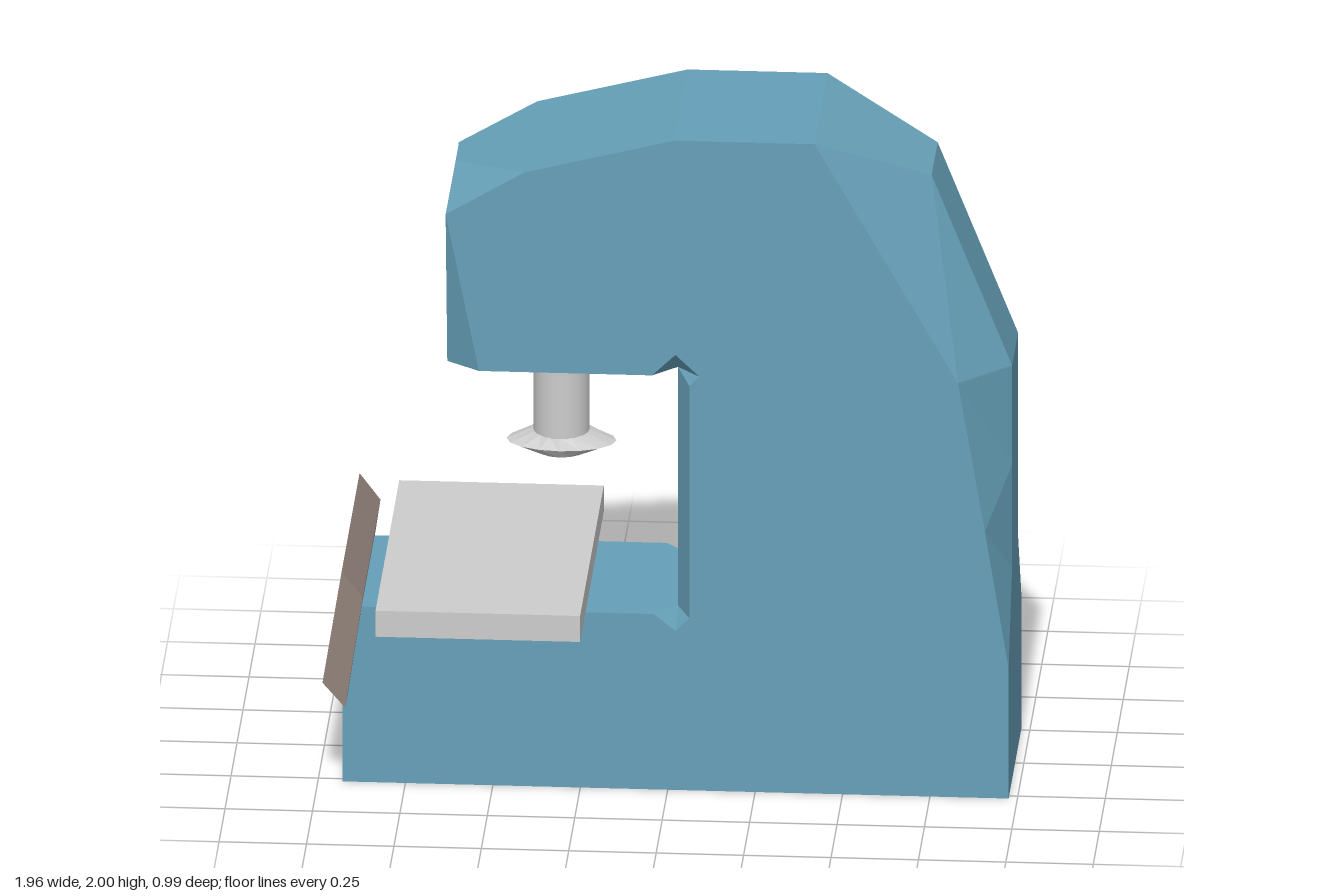
import * as THREE from 'three';

const W = 0.27; // half thickness of the frame

// Each row: side outline x, y (at z = W), then the bevel point x, y, z behind it.
// A row of two numbers has no bevel. Rows run counter-clockwise seen from the front.
const FRAME = [
  [-0.93, 0], [0.975, 0], [0.975, 0.4],
  // back edge bevels
  [0.975, 0.4, 0.975, 0.65, 0.125],
  [0.907, 0.82, 0.975, 0.97, 0.125],
  [0.83, 1.275, 0.975, 1.275, 0.125],
  [0.83, 1.275, 0.745, 1.855, 0.125],
  [0.42, 2, 0.745, 1.855, 0.125],
  [0.42, 2], [0.02, 2], [-0.41, 1.89],
  // nose of the upper arm
  [-0.41, 1.89, -0.62, 1.84, 0.07],
  [-0.635, 1.755, -0.62, 1.84, 0.07],
  [-0.635, 1.755, -0.635, 1.275, 0.2],
  [-0.54, 1.275, -0.635, 1.275, 0.2],
  [-0.54, 1.275], [-0.045, 1.275],
  // relieved corners and bevel of the throat
  [-0.045, 1.275, 0.025, 1.275, 0.2],
  [0.022, 1.34, 0.025, 1.275, 0.2],
  [0.09, 1.275, 0.025, 1.275, 0.2],
  [0.062, 1.245, 0.025, 1.275, 0.2],
  [0.062, 0.53, 0.025, 0.54, 0.2],
  [0.022, 0.49, 0.025, 0.54, 0.2],
  [-0.04, 0.54, 0.025, 0.54, 0.2],
  [-0.04, 0.54], [-0.93, 0.54],
];

function frameGeometry() {
  const pos = [];
  const tri = (a, b, c) => {
    const area = new THREE.Triangle(a, b, c).getArea();
    if (area < 1e-7) return;
    for (const p of [a, b, c]) pos.push(p.x, p.y, p.z);
    for (const p of [a, c, b]) pos.push(p.x, p.y, -p.z); // mirrored half
  };
  const quad = (a, b, c, d) => { tri(a, b, c); tri(a, c, d); };

  const rows = FRAME.map(([x, y, rx = x, ry = y, rz = W]) => ({
    side: new THREE.Vector3(x, y, W),
    bevel: new THREE.Vector3(rx, ry, rz),
    middle: new THREE.Vector3(rx, ry, 0),
  }));
  // bevels and rim, from the side outline in to the middle plane
  rows.forEach((a, i) => {
    const b = rows[(i + 1) % rows.length];
    quad(b.side, a.side, a.bevel, b.bevel);
    quad(b.bevel, a.bevel, a.middle, b.middle);
  });
  // flat side
  const outline = rows.map((r) => r.side)
    .filter((p, i, all) => i === 0 || !p.equals(all[i - 1]));
  const flat = outline.map((p) => new THREE.Vector2(p.x, p.y));
  for (const [a, b, c] of THREE.ShapeUtils.triangulateShape(flat, [])) {
    tri(outline[a], outline[b], outline[c]);
  }

  const geo = new THREE.BufferGeometry();
  geo.setAttribute('position', new THREE.Float32BufferAttribute(pos, 3));
  geo.computeVertexNormals();
  return geo;
}

// Lens-shaped foot: round at top and bottom, pointed along x at the rim
function footGeometry() {
  const profile = [[0, 0.935], [0.075, 0.935], [0.157, 0.962], [0.08, 0.995]]
    .map(([r, y]) => new THREE.Vector2(r, y));
  const geo = new THREE.LatheGeometry(profile, 16).toNonIndexed();
  const p = geo.attributes.position;
  for (let i = 0; i < p.count; i++) {
    if (Math.abs(p.getY(i) - 0.962) < 1e-4) p.setZ(i, p.getZ(i) * 0.6);
  }
  geo.computeVertexNormals();
  return geo;
}

export function createModel() {
  const model = new THREE.Group();
  model.name = 'press';
  const material = (name, color) => {
    const m = new THREE.MeshStandardMaterial({ color });
    m.name = name;
    return m;
  };
  const blue = material('blue paint', 0x66a0b8);
  const grey = material('light grey metal', 0xcccccc);
  const brown = material('brown panel', 0x92827a);

  const add = (name, geo, mat, x = 0, y = 0, z = 0) => {
    const mesh = new THREE.Mesh(geo, mat);
    mesh.name = name;
    mesh.position.set(x, y, z);
    model.add(mesh);
  };

  add('frame', frameGeometry(), blue);
  add('table', new THREE.BoxGeometry(0.585, 0.08, 0.99), grey, -0.5275, 0.58);
  add('ram', new THREE.CylinderGeometry(0.08, 0.08, 0.33, 24), grey, -0.322, 1.145);
  add('foot', footGeometry(), grey, -0.322);

  // slanted panel on the front of the base
  const panel = new THREE.Shape([[-0.925, 0.69], [-0.98, 0.345], [-0.915, 0.27], [-0.865, 0.61]]
    .map(([x, y]) => new THREE.Vector2(x, y)));
  add('controlPanel', new THREE.ExtrudeGeometry(panel, { depth: 0.745, bevelEnabled: false }),
    brown, 0, 0, -0.37);

  return model;
}
